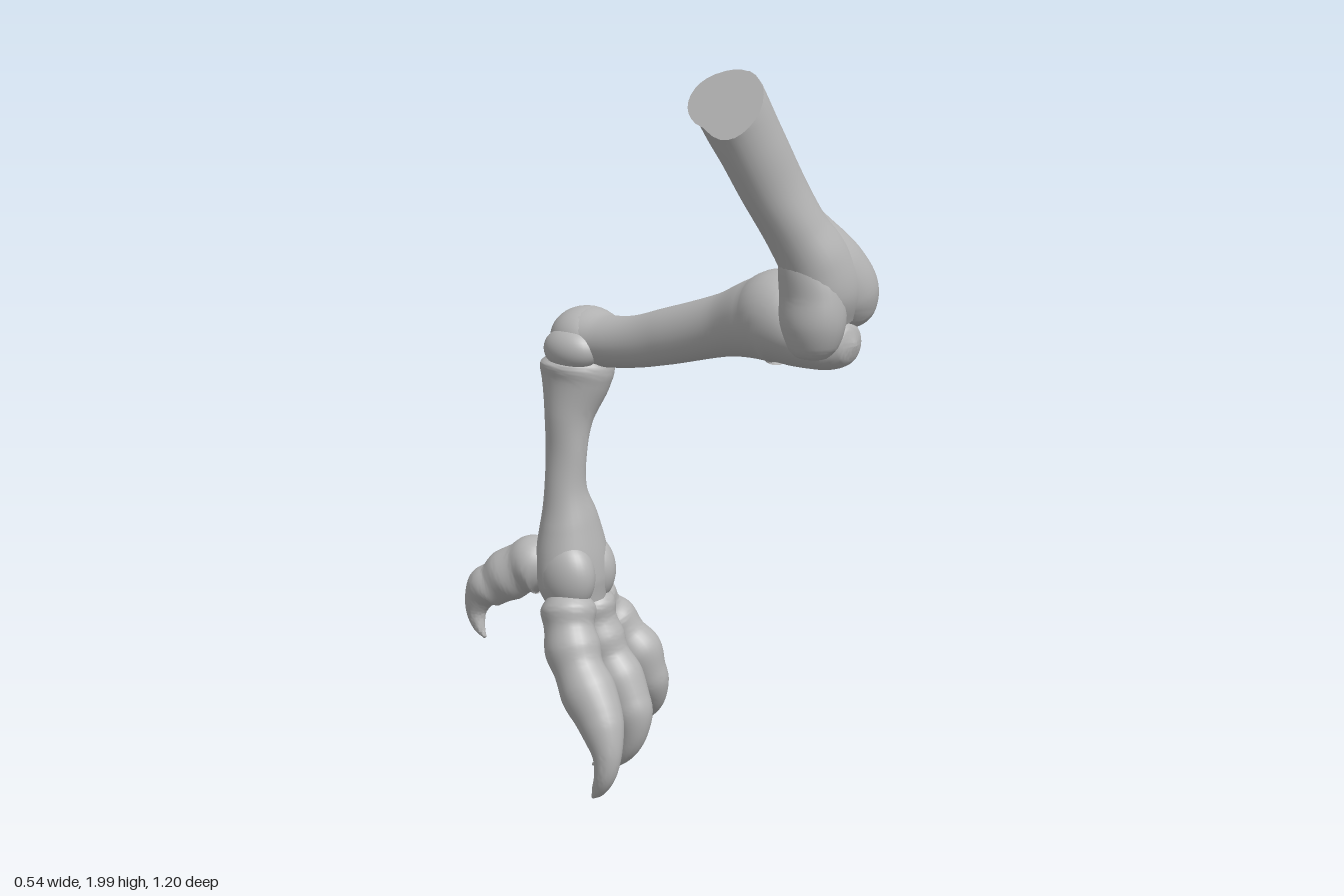
import * as THREE from 'three';
import { toCreasedNormals } from 'three/addons/utils/BufferGeometryUtils.js';

const SIDES = 28;

// Smooth tube through rows of [x, y, z, half-width across x, half-depth]
function loft(rows, adjust) {
  const path = new THREE.CatmullRomCurve3(rows.map(r => new THREE.Vector3(r[0], r[1], r[2])));
  const size = new THREE.CatmullRomCurve3(
    rows.map(r => new THREE.Vector3(r[3], r[4] ?? r[3], 0)), false, 'catmullrom', 0.5);
  const steps = (rows.length - 1) * 7;
  const pos = [], index = [];
  for (let k = -1; k <= steps + 1; k++) {
    const t = Math.min(1, Math.max(0, k / steps));
    const closed = k < 0 || k > steps;
    const c = path.getPoint(t), s = size.getPoint(t), dir = path.getTangent(t);
    const u = new THREE.Vector3(1, 0, 0).addScaledVector(dir, -dir.x).normalize();
    const v = dir.clone().cross(u);
    for (let j = 0; j < SIDES; j++) {
      const a = j / SIDES * Math.PI * 2;
      const p = c.clone();
      if (!closed) p.addScaledVector(u, Math.cos(a) * s.x).addScaledVector(v, Math.sin(a) * s.y);
      if (adjust) adjust(p);
      pos.push(p.x, p.y, p.z);
    }
  }
  for (let i = 0; i < steps + 2; i++) {
    for (let j = 0; j < SIDES; j++) {
      const a = i * SIDES + j, b = i * SIDES + (j + 1) % SIDES;
      index.push(a, b, a + SIDES, b, b + SIDES, a + SIDES);
    }
  }
  const geo = new THREE.BufferGeometry();
  geo.setAttribute('position', new THREE.Float32BufferAttribute(pos, 3));
  geo.setIndex(index);
  return toCreasedNormals(geo, 0.9);
}

export function createModel() {
  const model = new THREE.Group();
  model.name = 'clawedLegBones';
  const bone = new THREE.MeshStandardMaterial({ color: 0xb4b4b4 });
  bone.name = 'bone grey';

  const add = (name, geo) => {
    const mesh = new THREE.Mesh(geo, bone);
    mesh.name = name;
    model.add(mesh);
    return mesh;
  };
  const ball = (name, x, y, z, rx, ry, rz) => {
    const mesh = add(name, new THREE.SphereGeometry(1, 32, 20));
    mesh.position.set(x, y, z);
    mesh.scale.set(rx, ry, rz);
  };

  // Thigh bone: slightly pear-shaped towards the top, sliced flat by an oblique plane
  const cut = new THREE.Vector3(-0.208, 1.917, 0.37);
  const normal = new THREE.Vector3(-0.79, 0.61, 0);
  const slide = new THREE.Vector3(-0.43, 0.87, -0.17);
  const shapeTop = p => {
    const back = THREE.MathUtils.smoothstep(0.44 - p.z, 0, 0.16);
    const pinch = 0.22 * back * THREE.MathUtils.smoothstep(p.y, 1.65, 1.9);
    const edge = -0.205 + (1.915 - p.y) * 0.5 + 0.085;
    p.x = THREE.MathUtils.lerp(p.x, edge, pinch);
    const d = p.clone().sub(cut).dot(normal);
    if (d > 0) p.addScaledVector(slide, -d / normal.dot(slide));
  };
  add('thighBone', loft([
    [-0.33, 2.15, 0.31, 0.096, 0.1],
    [-0.21, 1.92, 0.37, 0.096, 0.1],
    [-0.15, 1.81, 0.405, 0.092, 0.084],
    [-0.09, 1.70, 0.433, 0.089, 0.076],
    [-0.04, 1.60, 0.465, 0.083, 0.078],
    [0.005, 1.52, 0.49, 0.095, 0.088],
    [0.035, 1.44, 0.50, 0.105, 0.09],
    [0.05, 1.37, 0.50, 0.08, 0.065],
  ], shapeTop));
  // Knee condyles flowing out of the shaft
  add('outerKneeCondyle', loft([
    [-0.01, 1.64, 0.465, 0.04],
    [0.025, 1.57, 0.475, 0.072],
    [0.07, 1.495, 0.492, 0.093],
    [0.107, 1.43, 0.503, 0.096],
    [0.127, 1.38, 0.507, 0.075],
    [0.135, 1.355, 0.507, 0.045],
    [0.138, 1.345, 0.507, 0.005],
  ]));
  add('innerKneeCondyle', loft([
    [-0.035, 1.6, 0.47, 0.05],
    [-0.02, 1.52, 0.48, 0.072],
    [-0.012, 1.44, 0.493, 0.075, 0.086],
    [-0.014, 1.37, 0.497, 0.077, 0.086],
    [-0.012, 1.31, 0.497, 0.06, 0.066],
    [-0.01, 1.285, 0.497, 0.038, 0.04],
    [-0.01, 1.275, 0.497, 0.005],
  ]));

  // Shin bone with its knee head and ankle rollers
  add('shinBone', loft([
    [0.06, 1.312, 0.578, 0.005, 0.005],
    [0.06, 1.312, 0.562, 0.05, 0.045],
    [0.06, 1.314, 0.52, 0.09, 0.072],
    [0.05, 1.335, 0.44, 0.114, 0.096],
    [0.045, 1.362, 0.37, 0.12, 0.124],
    [0.05, 1.352, 0.3, 0.104, 0.108],
    [0.055, 1.32, 0.18, 0.076, 0.083],
    [0.045, 1.27, 0.0, 0.064, 0.075],
    [0.04, 1.245, -0.1, 0.061, 0.07],
    [0.045, 1.234, -0.2, 0.073, 0.071],
    [0.055, 1.237, -0.28, 0.093, 0.08],
    [0.055, 1.235, -0.34, 0.05, 0.05],
  ]));
  ball('ankleKnob', 0.057, 1.236, -0.285, 0.1, 0.083, 0.099);
  ball('ankleRollerInner', -0.008, 1.21, -0.285, 0.06, 0.06, 0.085);
  ball('ankleRollerOuter', 0.1, 1.23, -0.285, 0.06, 0.065, 0.088);

  // Foot bone between ankle and toes
  add('footBone', loft([
    [0.035, 1.195, -0.3, 0.07, 0.075],
    [0.035, 1.165, -0.3, 0.099, 0.101],
    [0.03, 1.12, -0.302, 0.092, 0.098],
    [0.005, 1.02, -0.307, 0.068, 0.067],
    [-0.008, 0.92, -0.307, 0.052, 0.059],
    [-0.012, 0.82, -0.307, 0.058, 0.059],
    [-0.002, 0.73, -0.303, 0.086, 0.077],
    [0.003, 0.64, -0.3, 0.108, 0.092],
    [0.003, 0.56, -0.292, 0.112, 0.092],
    [0.003, 0.5, -0.28, 0.09, 0.075],
  ]));
  // Two broad knuckles merging into the foot bone
  ball('innerKnuckle', -0.048, 0.585, -0.275, 0.066, 0.1, 0.085);
  ball('outerKnuckle', 0.052, 0.585, -0.283, 0.066, 0.1, 0.085);

  // Toes: swollen joints along the length, then a hooked claw
  const toes = {
    rightToe: [
      [-0.05, 0.55, -0.275, 0.035], [-0.06, 0.5, -0.262, 0.072], [-0.073, 0.45, -0.248, 0.066],
      [-0.085, 0.395, -0.226, 0.074], [-0.095, 0.345, -0.197, 0.066], [-0.103, 0.29, -0.158, 0.073],
      [-0.113, 0.235, -0.115, 0.064], [-0.123, 0.195, -0.09, 0.055], [-0.136, 0.135, -0.067, 0.038],
      [-0.143, 0.08, -0.07, 0.028], [-0.143, 0.035, -0.092, 0.018], [-0.143, 0.009, -0.112, 0.004]],
    middleToe: [
      [0.03, 0.54, -0.28, 0.035], [0.042, 0.49, -0.272, 0.068], [0.048, 0.44, -0.262, 0.063],
      [0.053, 0.385, -0.245, 0.07], [0.06, 0.335, -0.222, 0.062], [0.064, 0.28, -0.188, 0.069],
      [0.065, 0.225, -0.155, 0.06], [0.064, 0.185, -0.139, 0.056], [0.06, 0.13, -0.137, 0.042],
      [0.056, 0.08, -0.158, 0.032], [0.052, 0.035, -0.208, 0.021], [0.05, 0.01, -0.268, 0.004]],
    leftToe: [
      [0.07, 0.54, -0.31, 0.035], [0.1, 0.49, -0.31, 0.065], [0.128, 0.445, -0.3, 0.06],
      [0.155, 0.405, -0.283, 0.071], [0.176, 0.36, -0.254, 0.063], [0.195, 0.315, -0.224, 0.07],
      [0.208, 0.265, -0.205, 0.058], [0.221, 0.225, -0.197, 0.052], [0.238, 0.17, -0.205, 0.037],
      [0.25, 0.125, -0.235, 0.026], [0.259, 0.095, -0.268, 0.016], [0.265, 0.08, -0.298, 0.004]],
    hindToe: [
      [-0.02, 0.59, -0.34, 0.05], [-0.04, 0.595, -0.395, 0.077], [-0.052, 0.58, -0.435, 0.067],
      [-0.065, 0.555, -0.475, 0.069], [-0.077, 0.53, -0.508, 0.058], [-0.087, 0.513, -0.535, 0.056],
      [-0.095, 0.48, -0.556, 0.04], [-0.1, 0.44, -0.563, 0.027], [-0.105, 0.4, -0.548, 0.016],
      [-0.108, 0.375, -0.525, 0.004]],
  };
  // Toes are a little deeper than wide
  for (const [name, rows] of Object.entries(toes)) {
    add(name, loft(rows.map(([x, y, z, r]) => [x, y, z, r * 1.03, r * 1.07])));
  }

  return model;
}
